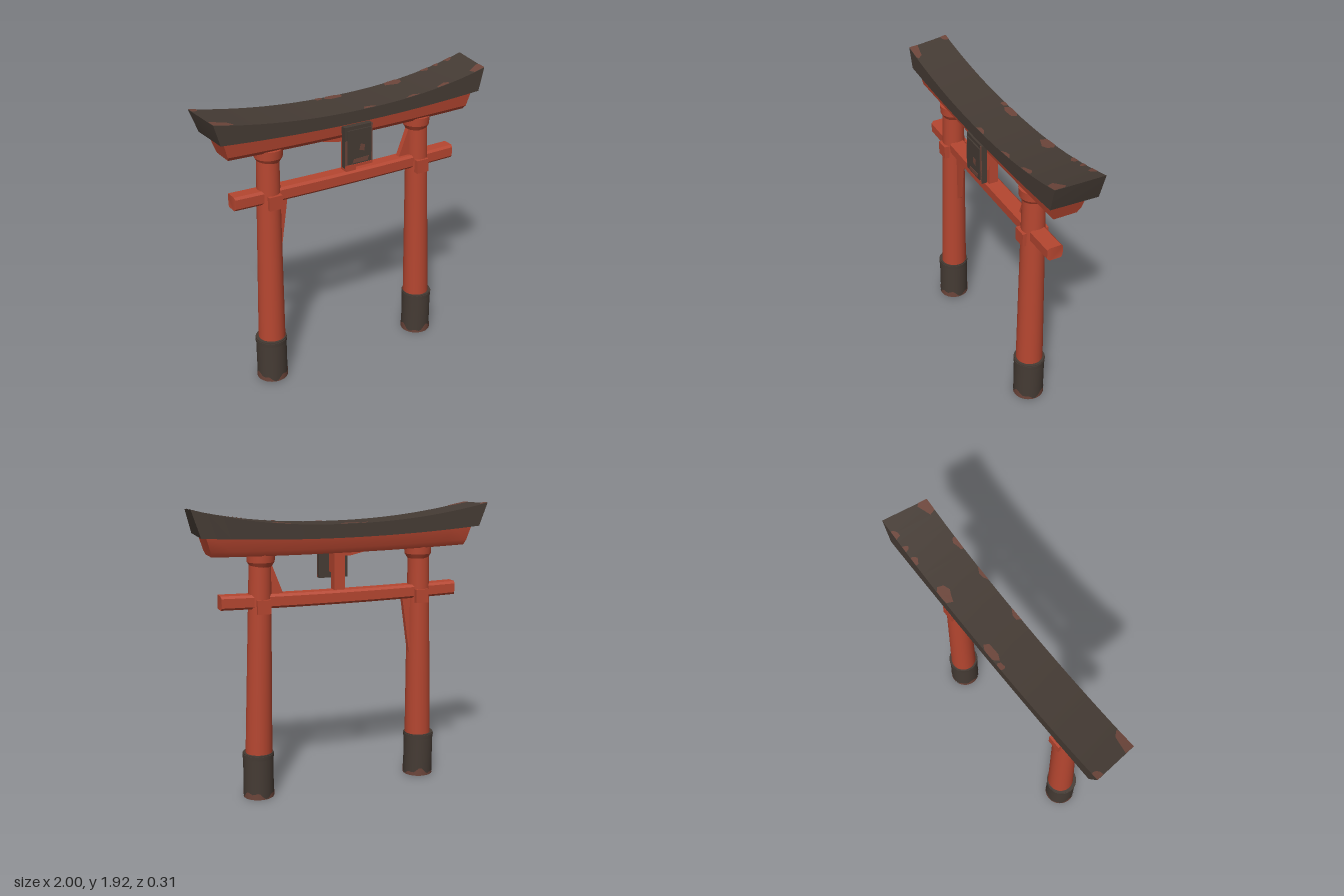
import * as THREE from 'three';
import { toCreasedNormals } from 'three/addons/utils/BufferGeometryUtils.js';

const V = (x, y, z) => new THREE.Vector3(x, y, z);

function fromTriangles(points) {
  const g = new THREE.BufferGeometry().setFromPoints(points);
  g.computeVertexNormals();
  return g;
}

// Skin cross-sections listed from -x to +x, with both ends closed
function loft(count, section) {
  const rings = [];
  for (let i = 0; i <= count; i++) rings.push(section(-1 + (2 * i) / count));
  const n = rings[0].length, tris = [];
  for (let i = 0; i < count; i++) {
    for (let k = 0; k < n; k++) {
      const m = (k + 1) % n;
      const a = rings[i][k], b = rings[i][m], c = rings[i + 1][m], d = rings[i + 1][k];
      tris.push(a, b, c, a, c, d);
    }
  }
  const s = rings[0], e = rings[count];
  for (let k = 1; k < n - 1; k++) tris.push(s[0], s[k + 1], s[k], e[0], e[k], e[k + 1]);
  return toCreasedNormals(fromTriangles(tris), 0.5);
}

// Tapered round post leaning from one centre to another
function post(a, b, r0, r1) {
  const h = b.y - a.y;
  const g = new THREE.CylinderGeometry(r1, r0, h, 24, 1);
  const p = g.attributes.position;
  for (let i = 0; i < p.count; i++) {
    const t = p.getY(i) / h + 0.5;
    p.setXYZ(i, p.getX(i) + a.x + (b.x - a.x) * t, a.y + h * t, p.getZ(i) + a.z + (b.z - a.z) * t);
  }
  return toCreasedNormals(g, 0.7);
}

function box(x0, x1, y0, y1, z0, z1) {
  return new THREE.BoxGeometry(x1 - x0, y1 - y0, z1 - z0)
    .translate((x0 + x1) / 2, (y0 + y1) / 2, (z0 + z1) / 2);
}

function fin(points, z0, depth) {
  const shape = new THREE.Shape(points.map(([x, y]) => new THREE.Vector2(x, y)));
  return new THREE.ExtrudeGeometry(shape, { depth, bevelEnabled: false }).translate(0, 0, z0);
}

// Upswept roof: t runs along the length, v from front edge (0) to back edge (1)
function roofTop(t, v) {
  const curve = Math.pow(Math.abs(t), 2.2);
  const front = 1.788 + (0.1 + 0.01 * t) * curve;
  const back = 1.797 + (0.111 + 0.012 * t) * curve;
  return V(t * (0.968 + 0.03 * v), front + (back - front) * v, 0.147 - v * (0.292 + 0.01 * t));
}

export function createModel() {
  const mat = (name, color, side = THREE.FrontSide) => {
    const m = new THREE.MeshStandardMaterial({ color, side });
    m.name = name;
    return m;
  };
  const red = mat('vermilion paint', 0xb54630);
  const dark = mat('charcoal wood', 0x453b34);
  const worn = mat('worn brown', 0x6c453a, THREE.DoubleSide);

  const model = new THREE.Group();
  model.name = 'shrineGate';
  const add = (name, geometry, material, parent = model) => {
    const m = new THREE.Mesh(geometry, material);
    m.name = name;
    parent.add(m);
    return m;
  };

  // Roof beam
  add('roofBeam', loft(20, t => {
    const y = 1.71 + 0.036 * t * t;
    return [V(t * 0.93, y, 0.147), V(t * 0.94, y, -0.145 - 0.01 * t), roofTop(t, 1), roofTop(t, 0)];
  }), dark);

  // Lintel under the roof, with softened lower edges
  const profile = [[0.08, 1.605, 0.86], [-0.07, 1.605, 0.86], [-0.092, 1.64, 0.87],
    [-0.105, 1.735, 0.9], [0.115, 1.735, 0.9], [0.1, 1.63, 0.87]];
  add('lintel', loft(12, t => profile.map(([z, y, w]) => V(t * w, y + 0.013 * t * t, z))), red);

  // Tie beam, slightly sagging, with chamfered edges
  const beam = [[0.058, 1.265], [-0.018, 1.265], [-0.032, 1.28], [-0.032, 1.34],
    [-0.018, 1.355], [0.058, 1.355], [0.072, 1.34], [0.072, 1.28]];
  add('tieBeam', loft(10, t => beam.map(([z, y]) => {
    const shrink = Math.abs(t) === 1 && (z > 0.06 || z < -0.02) ? 0.004 : 0;
    return V(t * (0.813 - shrink) - 0.014, y + 0.01 * t * t, z);
  })), red);

  // Pillars with capitals, joint keys and dark footings
  const pillars = [
    { name: 'rightPillar', x0: -0.598, x1: -0.57, foot: -0.605, y0: 0.01, y1: 0.31 },
    { name: 'leftPillar', x0: 0.556, x1: 0.528, foot: 0.56, y0: 0, y1: 0.305 },
  ];
  for (const p of pillars) {
    const g = new THREE.Group();
    g.name = p.name;
    model.add(g);
    add('shaft', post(V(p.x0, 0.25, 0.036), V(p.x1, 1.62, 0.018), 0.089, 0.07), red, g);
    const capX = p.x1 + Math.sign(p.x1) * -0.004;
    add('capitalFlare', post(V(capX, 1.535, 0.018), V(capX, 1.565, 0.018), 0.07, 0.088), red, g);
    add('capital', post(V(capX, 1.565, 0.018), V(capX, 1.62, 0.018), 0.088, 0.091), red, g);
    add('jointKey', box(p.x1 - 0.045, p.x1 + 0.045, 1.24, 1.33, -0.064, 0.112), red, g);
    add('footing', post(V(p.foot, p.y0, 0.04), V(p.foot, p.y1, 0.038), 0.1, 0.1), dark, g);
    add('footingRim', post(V(p.foot, p.y1 - 0.035, 0.038), V(p.foot, p.y1 - 0.008, 0.038), 0.103, 0.104), dark, g);

    // Ragged worn band round the foot
    const band = new THREE.CylinderGeometry(0.1025, 0.1025, 1, 36, 1, true);
    const q = band.attributes.position;
    for (let i = 0; i < q.count; i++) {
      const a = Math.atan2(q.getX(i), q.getZ(i));
      const top = 0.028 + 0.018 * Math.sin(a * 3 + p.foot) + 0.012 * Math.sin(a * 7);
      q.setY(i, p.y0 + (q.getY(i) > 0 ? Math.max(0.004, top) : 0));
    }
    band.translate(p.foot, 0, 0.04);
    add('wornBand', band, worn, g);
  }

  // Irregular braces
  add('lowerBrace', fin([[-0.53, 0.85], [-0.505, 0.9], [-0.45, 1.28], [-0.53, 1.28]], 0, 0.035), red);
  add('upperBrace', fin([[0.38, 1.345], [0.5, 1.345], [0.5, 1.58], [0.46, 1.55]], 0, 0.035), red);
  add('lintelWedge', fin([[-0.3, 1.615], [-0.09, 1.57], [-0.03, 1.57], [-0.03, 1.615]], 0.03, 0.03), red);

  // Plaque on its short strut
  const plaque = new THREE.Group();
  plaque.name = 'plaque';
  model.add(plaque);
  add('strut', box(-0.04, 0.035, 1.34, 1.63, 0, 0.06), red, plaque);
  add('bracket', box(-0.03, 0.03, 1.46, 1.6, 0.05, 0.115), red, plaque);
  add('board', box(-0.1, 0.1, 1.42, 1.69, 0.108, 0.146), dark, plaque);
  add('frameBottom', box(-0.1, 0.1, 1.42, 1.438, 0.144, 0.15), red, plaque);
  add('frameSideRight', box(-0.1, -0.085, 1.438, 1.6, 0.144, 0.15), worn, plaque);
  add('frameSideLeft', box(0.09, 0.1, 1.438, 1.69, 0.144, 0.15), worn, plaque);
  add('panel', box(-0.083, 0.088, 1.442, 1.667, 0.14, 0.155), dark, plaque);
  add('wornSpot', fin([[-0.05, 1.45], [0.06, 1.45], [0.07, 1.48], [-0.04, 1.475]], 0.154, 0.003), worn, plaque);
  add('wornChip', fin([[0, 1.53], [0.035, 1.52], [0.04, 1.56], [0.01, 1.57]], 0.154, 0.003), worn, plaque);

  // Worn patches along the roof edges: [t, v, half length, half depth]
  const patches = [[-0.98, 0.96, 0.03, 0.12], [-0.13, 0.96, 0.025, 0.08], [-0.03, 0.94, 0.06, 0.13],
    [0.43, 0.93, 0.06, 0.17], [0.7, 0.97, 0.03, 0.08], [0.79, 0.97, 0.02, 0.07], [0.89, 0.97, 0.03, 0.08],
    [-0.95, 0.03, 0.08, 0.18], [0.08, 0.01, 0.045, 0.08], [0.42, 0.01, 0.05, 0.06],
    [0.67, 0.03, 0.05, 0.07], [0.97, 0.05, 0.06, 0.2]];
  const wear = [];
  patches.forEach(([t, v, w, d], k) => {
    const at = i => {
      const a = (i / 9) * Math.PI * 2, r = 1 + 0.2 * Math.sin(i % 9 * 2.3 + k);
      const p = roofTop(THREE.MathUtils.clamp(t + w * r * Math.cos(a), -1, 1),
        THREE.MathUtils.clamp(v + d * r * Math.sin(a), 0, 1));
      p.y += 0.003;
      return p;
    };
    const c = roofTop(t, v);
    c.y += 0.003;
    for (let i = 0; i < 9; i++) wear.push(c, at(i), at(i + 1));
  });
  add('roofWear', fromTriangles(wear), worn);

  return model;
}
